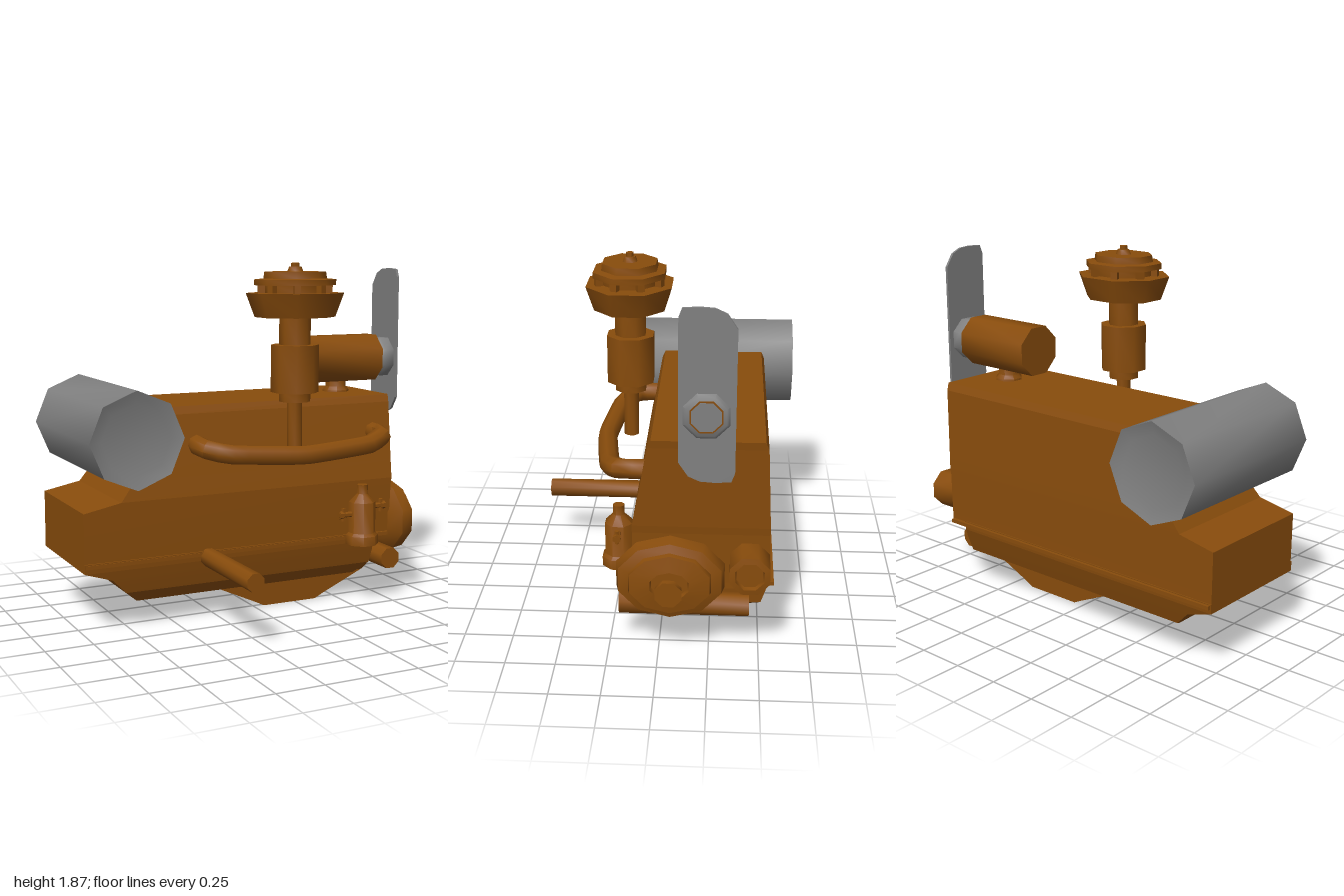
import * as THREE from 'three';
import { toCreasedNormals } from 'three/addons/utils/BufferGeometryUtils.js';

export function createModel() {
  const model = new THREE.Group();
  model.name = 'engine';
  const rust = new THREE.MeshStandardMaterial({ color: 0x884c0c });
  rust.name = 'rusty orange';
  const grey = new THREE.MeshStandardMaterial({ color: 0x808080 });
  grey.name = 'steel grey';

  const add = (name, geo, mat, x = 0, y = 0, z = 0, crease = 0.9) => {
    const mesh = new THREE.Mesh(toCreasedNormals(geo, crease), mat);
    mesh.name = name;
    mesh.position.set(x, y, z);
    model.add(mesh);
    return mesh;
  };

  // Stack of rectangular rings [y, xMin, xMax, zFront, zBack], capped at both ends
  const loft = (rows) => {
    const pos = [], idx = [];
    rows.forEach(([y, x0, x1, zf, zb]) => pos.push(x0, y, zf, x1, y, zf, x1, y, zb, x0, y, zb));
    for (let r = 0; r < rows.length - 1; r++) {
      for (let i = 0; i < 4; i++) {
        const a = r * 4 + i, b = r * 4 + (i + 1) % 4;
        idx.push(a, b, b + 4, a, b + 4, a + 4);
      }
    }
    const t = (rows.length - 1) * 4;
    idx.push(0, 2, 1, 0, 3, 2, t, t + 1, t + 2, t, t + 2, t + 3);
    const geo = new THREE.BufferGeometry();
    geo.setAttribute('position', new THREE.Float32BufferAttribute(pos, 3));
    geo.setIndex(idx);
    return geo;
  };

  // Low-sided turned part; the profile is [radius, height] from the bottom up
  const turned = (profile, sides = 8) => {
    const geo = new THREE.LatheGeometry(profile.map(([r, h]) => new THREE.Vector2(r, h)), sides);
    return geo.rotateY(Math.PI / sides);
  };
  const rod = (r, length, axis, sides = 8) => {
    const geo = new THREE.CylinderGeometry(r, r, length, sides).rotateY(Math.PI / sides);
    if (axis === 'x') geo.rotateZ(-Math.PI / 2);
    if (axis === 'z') geo.rotateX(Math.PI / 2);
    return geo;
  };

  // Engine block, tapering towards the top
  add('engineBlock', loft([
    [0.37, -1, 0.79, 0.125, -0.55],
    [0.64, -1, 0.8, 0.13, -0.545],
    [0.68, -0.8, 0.805, 0.13, -0.545],
    [0.78, -0.72, 0.81, 0.11, -0.54],
    [1.1, -0.505, 0.825, 0.052, -0.525],
    [1.14, -0.49, 0.83, 0.035, -0.51],
  ]), rust, 0, 0, 0, 0.05);
  add('crankcase', loft([
    [0.14, -0.7, 0.6, 0.06, -0.4],
    [0.2, -0.77, 0.68, 0.1, -0.51],
    [0.28, -0.85, 0.69, 0.12, -0.535],
    [0.33, -1, 0.69, 0.13, -0.55],
    [0.38, -1, 0.69, 0.135, -0.555],
  ]), rust, 0, 0, 0, 0.05);
  add('sumpFlange', loft([
    [0.355, -0.995, 0.78, 0.14, -0.57],
    [0.375, -0.995, 0.78, 0.14, -0.57],
  ]), rust, 0, 0, 0, 0.05);
  add('oilPan', loft([
    [0.005, 0.06, 0.38, 0.02, -0.35],
    [0.03, 0.01, 0.43, 0.02, -0.35],
    [0.14, -0.23, 0.68, 0.02, -0.35],
    [0.18, -0.3, 0.69, 0.065, -0.395],
  ]), rust, 0, 0, 0, 0.05);

  // Octagonal drum with shallow recessed ends
  const drum = turned([
    [0, -0.44], [0.185, -0.44], [0.252, -0.46], [0.252, 0.46], [0.185, 0.44], [0, 0.44],
  ]).rotateY(Math.PI / 8).rotateX(Math.PI / 2);
  add('drum', drum, grey, -0.745, 1.005, -0.23);

  // Manifold pipe bowing out from the front
  const manifoldPath = new THREE.CatmullRomCurve3([
    [-0.36, 0.94, 0.06], [-0.36, 0.93, 0.19], [-0.25, 0.905, 0.26], [0.15, 0.88, 0.305],
    [0.57, 0.9, 0.255], [0.7, 0.935, 0.19], [0.71, 0.94, 0.06],
  ].map((p) => new THREE.Vector3(...p)), false, 'catmullrom', 0.2);
  add('manifold', new THREE.TubeGeometry(manifoldPath, 20, 0.052, 8), rust);

  // Carburettor column and air cleaner
  add('carburettor', turned([
    [0, 0.9], [0.04, 0.9], [0.04, 1.15], [0.083, 1.15], [0.083, 1.2], [0.127, 1.2],
    [0.127, 1.45], [0.083, 1.45], [0.083, 1.62], [0, 1.62],
  ]), rust, 0.16, 0, 0.178);
  const cleaner = add('airCleaner', turned([
    [0, 1.595], [0.197, 1.595], [0.24, 1.72], [0.15, 1.72], [0.15, 1.76], [0.2, 1.76],
    [0.2, 1.79], [0.155, 1.795], [0.15, 1.83], [0.04, 1.83], [0.03, 1.855], [0.02, 1.855],
    [0.02, 1.875], [0, 1.875],
  ]), rust, 0.16, 0, 0.178, 0.8);
  cleaner.scale.set(1.1, 1, 0.97);
  const vents = new THREE.Group();
  vents.name = 'airCleanerVents';
  for (let i = 0; i < 8; i++) {
    const a = i * Math.PI / 4 + Math.PI / 8;
    const post = new THREE.Mesh(new THREE.BoxGeometry(0.035, 0.05, 0.035), rust);
    post.name = 'ventPost';
    post.position.set(0.16 + Math.sin(a) * 0.18, 1.74, 0.178 + Math.cos(a) * 0.165);
    post.rotation.y = a;
    vents.add(post);
  }
  model.add(vents);

  // Generator on its stand, with the fan
  add('generator', rod(0.14, 0.47, 'x'), rust, 0.645, 1.33, -0.23);
  add('generatorStand', turned([
    [0.075, 1.1], [0.075, 1.15], [0.058, 1.17], [0.058, 1.24],
  ]), rust, 0.645, 0, -0.23);
  add('fanShaft', rod(0.035, 0.05, 'x'), rust, 0.895, 1.33, -0.23);
  add('fanHub', turned([
    [0, -0.055], [0.105, -0.055], [0.118, -0.03], [0.118, 0.035], [0.1, 0.05], [0, 0.05],
  ]).rotateZ(-Math.PI / 2), grey, 0.945, 1.33, -0.23);
  add('hubRing', rod(0.083, 0.004, 'x'), rust, 0.995, 1.33, -0.23);
  add('hubCap', rod(0.075, 0.004, 'x'), grey, 0.998, 1.33, -0.23);
  const blade = new THREE.Shape([
    [0.132, -0.32], [0.132, 0.37], [0.115, 0.415], [0.04, 0.42], [-0.03, 0.415], [-0.085, 0.39],
    [-0.132, 0.32], [-0.132, -0.37], [-0.115, -0.415], [-0.04, -0.42], [0.03, -0.415], [0.085, -0.39],
  ].map(([z, y]) => new THREE.Vector2(-z, y)));
  add('fanBlade', new THREE.ExtrudeGeometry(blade, { depth: 0.014, bevelEnabled: false })
    .rotateY(Math.PI / 2), grey, 0.967, 1.42, -0.233, 0.3);

  // End pulley, wider than tall
  const pulley = add('endPulley', turned([
    [0, -0.1], [0.15, -0.1], [0.212, -0.05], [0.2, 0.02], [0.16, 0.035], [0.155, 0.06],
    [0.075, 0.075], [0.07, 0.05], [0, 0.05],
  ], 10).rotateZ(-Math.PI / 2), rust, 0.885, 0.435, -0.06);
  pulley.scale.z = 1.32;
  add('pulleyNut', rod(0.07, 0.03, 'x'), rust, 0.95, 0.39, -0.055);

  // Water pump stub
  add('pumpStub', turned([
    [0, -0.12], [0.105, -0.12], [0.105, 0.07], [0.075, 0.075], [0.07, 0.05], [0, 0.05],
  ]).rotateZ(-Math.PI / 2), rust, 0.885, 0.497, -0.447);

  // Cross pipes
  add('crossTube', rod(0.061, 0.65, 'z'), rust, 0.76, 0.235, -0.125);
  add('frontPipe', rod(0.05, 0.62, 'z'), rust, -0.32, 0.345, 0.38);

  // Fuel filter with side taps
  add('fuelFilter', turned([
    [0, 0.345], [0.09, 0.345], [0.09, 0.395], [0.074, 0.41], [0.074, 0.58], [0.03, 0.625],
    [0.03, 0.675], [0, 0.675],
  ]), rust, 0.563, 0, 0.215);
  add('filterBracket', new THREE.BoxGeometry(0.06, 0.08, 0.12), rust, 0.563, 0.45, 0.13);
  for (const [s, y] of [[-1, 0.515], [1, 0.55]]) {
    add('tapPipe', rod(0.015, 0.09, 'x', 6), rust, 0.563 + s * 0.1, y, 0.215);
    add('tapHandle', rod(0.012, 0.07, 'y', 6), rust, 0.563 + s * 0.118, y, 0.215);
    add('tapKnob', rod(0.022, 0.025, 'x', 6), rust, 0.563 + s * 0.13, y, 0.215);
  }
  return model;
}
